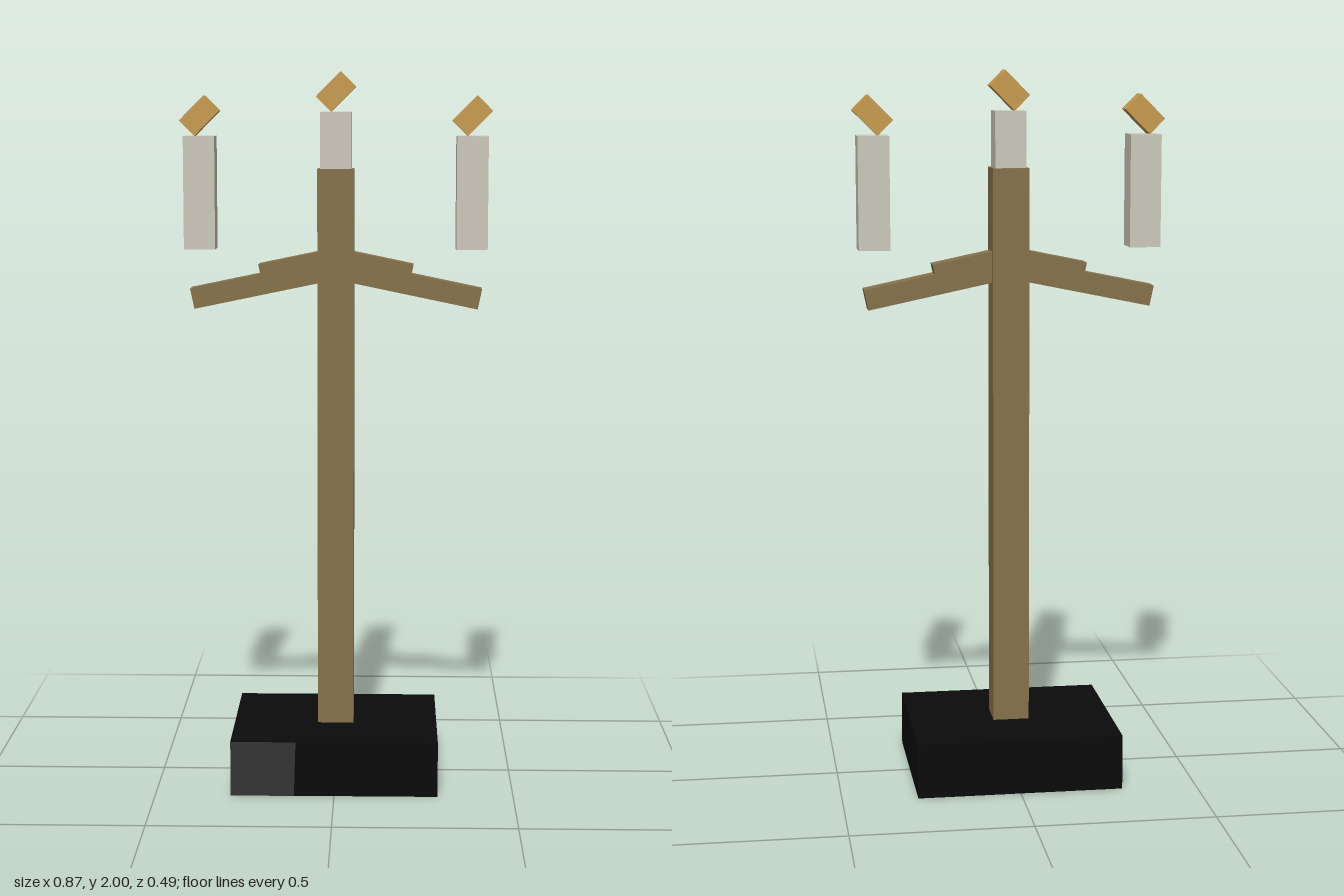
import * as THREE from 'three';

function material(name, color) {
  const m = new THREE.MeshStandardMaterial({ color });
  m.name = name;
  return m;
}

export function createModel() {
  const wood = material('wood', 0x87724b);
  const wax = material('wax', 0xcdc9bd);
  const flameGold = material('flameGold', 0xc89c50);
  const black = material('black', 0x0b0b0b);
  const charcoal = material('charcoal', 0x343434);

  const model = new THREE.Group();
  model.name = 'candelabra';

  // Box helper: size, centre, tilt about z
  function box(parent, name, mat, [w, h, d], [x, y, z], tilt = 0) {
    const mesh = new THREE.Mesh(new THREE.BoxGeometry(w, h, d), mat);
    mesh.name = name;
    mesh.position.set(x, y, z);
    mesh.rotation.z = tilt;
    parent.add(mesh);
  }

  // Base block with a lighter panel on the left end of its front face
  box(model, 'base', black, [0.578, 0.155, 0.488], [0, 0.0775, 0]);
  const panel = new THREE.Shape([
    new THREE.Vector2(-0.289, 0), new THREE.Vector2(-0.112, 0),
    new THREE.Vector2(-0.107, 0.155), new THREE.Vector2(-0.289, 0.155),
  ]);
  const basePanel = new THREE.Mesh(new THREE.ShapeGeometry(panel), charcoal);
  basePanel.name = 'basePanel';
  basePanel.position.z = 0.2455;
  model.add(basePanel);

  // Square post
  box(model, 'post', wood, [0.102, 1.58, 0.102], [0, 0.943, 0]);

  // Drooping arms: a long beam with a shorter one stepped on top
  for (const side of [1, -1]) {
    const turn = new THREE.Group();
    turn.name = side > 0 ? 'leftArm' : 'rightArm';
    turn.rotation.y = side > 0 ? 0 : Math.PI;
    const arm = new THREE.Group();
    arm.name = 'armBeams';
    arm.position.set(0.402, 1.372, 0);
    arm.rotation.z = -0.205;
    box(arm, 'outerBeam', wood, [0.39, 0.058, 0.06], [-0.195, 0, 0]);
    box(arm, 'innerBeam', wood, [0.19, 0.058, 0.06], [-0.296, 0.027, 0]);
    turn.add(arm);
    model.add(turn);
  }

  // Three candles, each with a slanted flame
  for (const [name, x, top] of [['left', 0.378, 1.823], ['centre', 0, 1.889], ['right', -0.379, 1.823]]) {
    box(model, name + 'Candle', wax, [0.087, 0.313, 0.087], [x, top - 0.1565, 0]);
    box(model, name + 'Flame', flameGold, [0.097, 0.06, 0.06], [x, top + 0.0555, 0], Math.PI / 4);
  }

  return model;
}
